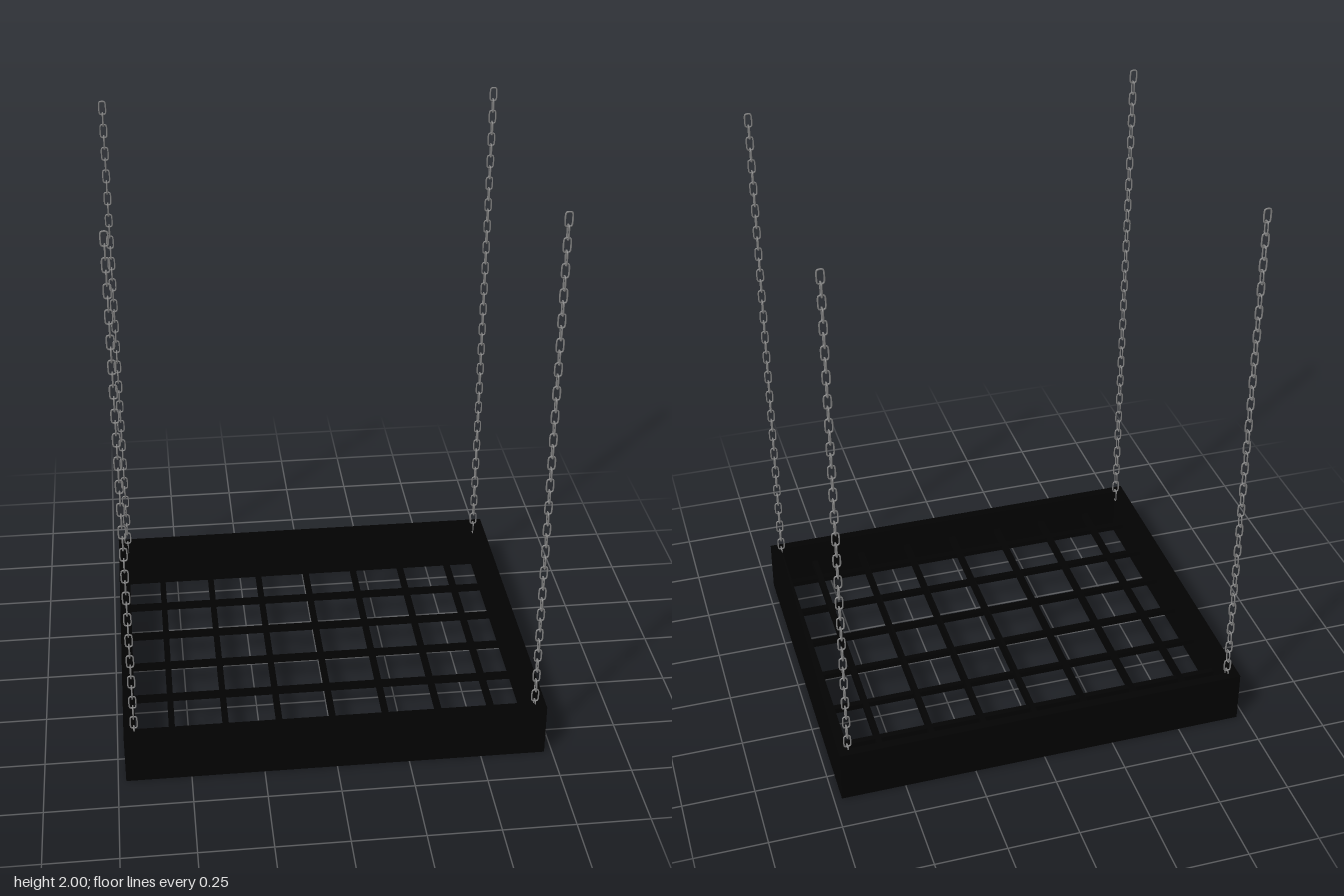
import * as THREE from 'three';
import { mergeGeometries } from 'three/addons/utils/BufferGeometryUtils.js';

const W = 1.446, D = 1.238, H = 0.19;   // tray size
const TX = 0.036, TZ = 0.031;           // wall thickness: sides, front and back
const BAR = 0.021;                      // grid bar width
const GRID_Y = 0.095;                   // grid height, halfway up the walls
const PITCH = 0.0418, LINKS = 44;       // chain spacing and count
const WIRE = 0.0028;                    // chain wire radius
const LINK_X = 0.0108, LINK_Y = 0.0232; // half size of a link's centre line

// One chain link: a wire bent into a rounded rectangle
function linkGeometry() {
  const r = 0.006, points = [];
  for (let corner = 0; corner < 4; corner++) {
    const sx = corner === 0 || corner === 3 ? 1 : -1;
    const sy = corner < 2 ? 1 : -1;
    for (let i = 0; i <= 2; i++) {
      const a = (corner + i / 2) * Math.PI / 2;
      points.push(new THREE.Vector3(
        sx * (LINK_X - r) + r * Math.cos(a),
        sy * (LINK_Y - r) + r * Math.sin(a), 0));
    }
  }
  const path = new THREE.CatmullRomCurve3(points, true, 'centripetal');
  return new THREE.TubeGeometry(path, 32, WIRE, 6, true);
}

// A hanging chain, every second link turned by a quarter
function chainGeometry() {
  const link = linkGeometry();
  const top = 2 - LINK_Y - WIRE;
  const links = [];
  for (let i = 0; i < LINKS; i++) {
    const g = link.clone();
    if (i % 2) g.rotateY(Math.PI / 2);
    links.push(g.translate(0, top - i * PITCH, 0));
  }
  return mergeGeometries(links);
}

export function createModel() {
  const model = new THREE.Group();
  model.name = 'hangingGridTray';

  const frameBlack = new THREE.MeshStandardMaterial({ color: 0x020202 });
  frameBlack.name = 'frameBlack';
  const chainGrey = new THREE.MeshStandardMaterial({ color: 0x808080 });
  chainGrey.name = 'chainGrey';

  function box(name, parent, w, h, d, x, y, z) {
    const mesh = new THREE.Mesh(new THREE.BoxGeometry(w, h, d), frameBlack);
    mesh.name = name;
    mesh.position.set(x, y, z);
    parent.add(mesh);
  }

  // Four walls of the frame
  const frame = new THREE.Group();
  frame.name = 'frame';
  model.add(frame);
  box('leftWall', frame, TX, H, D, (W - TX) / 2, H / 2, 0);
  box('rightWall', frame, TX, H, D, -(W - TX) / 2, H / 2, 0);
  box('frontWall', frame, W - 2 * TX, H, TZ, 0, H / 2, (D - TZ) / 2);
  box('backWall', frame, W - 2 * TX, H, TZ, 0, H / 2, -(D - TZ) / 2);

  // Grid of bars halfway up the frame
  const grid = new THREE.Group();
  grid.name = 'grid';
  model.add(grid);
  for (let i = -3; i <= 3; i++) {
    box('lengthBar', grid, BAR, 0.021, D - 2 * TZ, i * 0.1863, GRID_Y, 0);
  }
  for (let i = 0; i < 6; i++) {
    box('crossBar', grid, W - 2 * TX, 0.02, BAR, 0, GRID_Y, -0.466 + i * 0.19);
  }

  // A chain at each corner
  const chain = chainGeometry();
  for (const sx of [1, -1]) {
    for (const sz of [1, -1]) {
      const mesh = new THREE.Mesh(chain, chainGrey);
      mesh.name = (sz > 0 ? 'front' : 'back') + (sx > 0 ? 'Left' : 'Right') + 'Chain';
      mesh.position.set(sx * 0.687, 0, sz * 0.582);
      model.add(mesh);
    }
  }
  return model;
}
